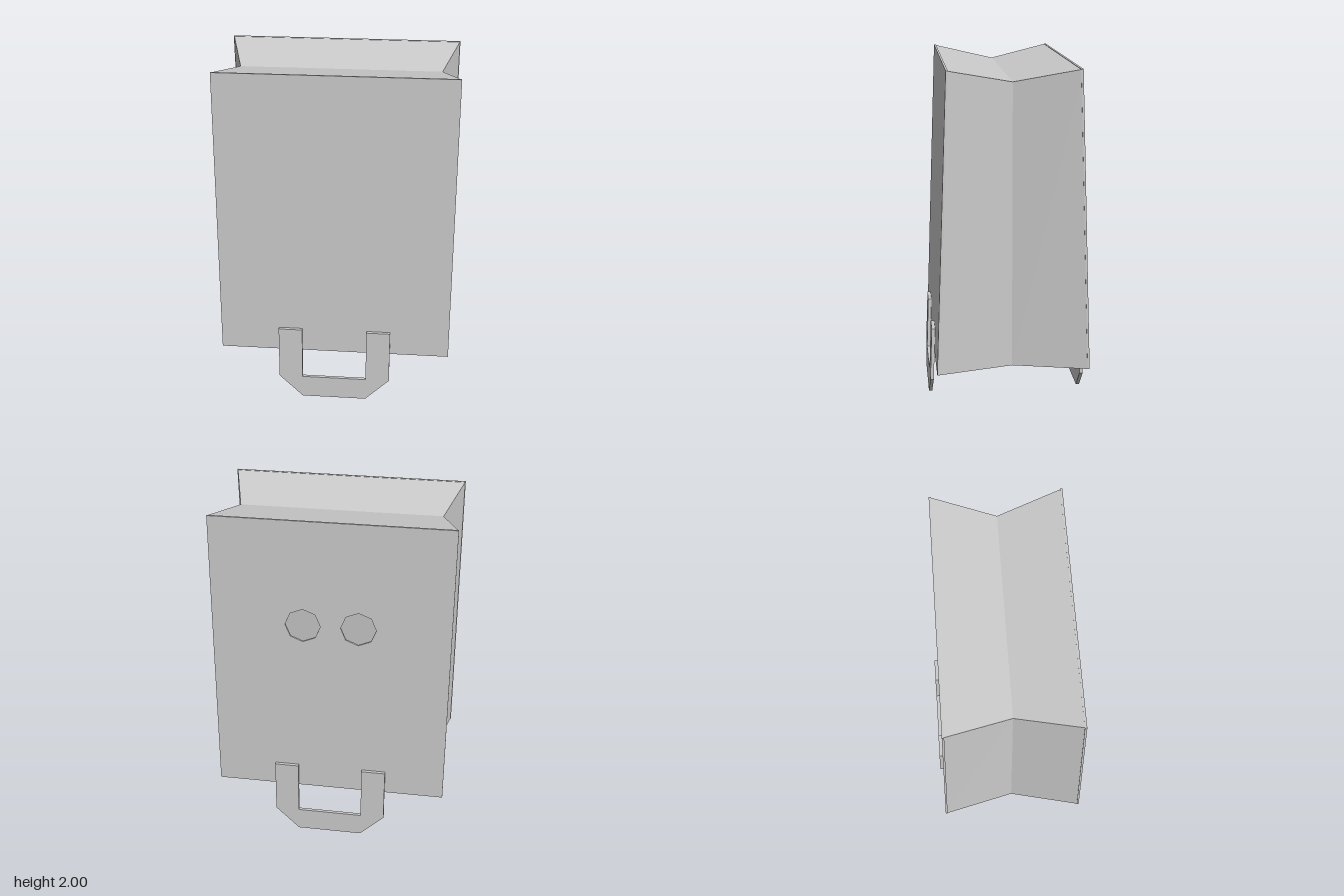
import * as THREE from 'three';

const material = new THREE.MeshStandardMaterial({ color: 0xcccccc, flatShading: true });
const T = 0.012;                              // paper thickness
const BOTTOM = 0.31, TOP = 2, FOLD_Y = 1.925; // heights of rim, top edges and top crease
const W = 0.675, FOLD_X = 0.575;              // half widths at corners and at the side creases
const Z_TOP = 0.36, Z_BOTTOM = 0.43;          // half depths
const SLOPE = (Z_BOTTOM - Z_TOP) / (TOP - BOTTOM);
const TILT = Math.atan(SLOPE);
const Z_FLOOR = Z_BOTTOM + BOTTOM * SLOPE;    // face plane continued down to y = 0

function addMesh(parent, name, geometry) {
  const mesh = new THREE.Mesh(geometry, material);
  mesh.name = name;
  parent.add(mesh);
  return mesh;
}

// Six-sided sheet between four outer corners and four inner corners
function sheet(outer, inner, flip) {
  const quads = [outer, [...inner].reverse()];
  for (let i = 0; i < 4; i++) {
    const j = (i + 1) % 4;
    quads.push([outer[j], outer[i], inner[i], inner[j]]);
  }
  const positions = [];
  for (const q of quads) {
    const [a, b, c, d] = flip ? [...q].reverse() : q;
    positions.push(...a, ...b, ...c, ...a, ...c, ...d);
  }
  const geometry = new THREE.BufferGeometry();
  geometry.setAttribute('position', new THREE.Float32BufferAttribute(positions, 3));
  geometry.computeVertexNormals();
  return geometry;
}

function shapeOf(points) {
  return new THREE.Shape(points.map(([x, y]) => new THREE.Vector2(x, y)));
}

function extrude(shape, depth) {
  return new THREE.ExtrudeGeometry(shape, { depth, bevelEnabled: false });
}

// Broad wall, lying in the tilted face plane
function wallGeometry(withHoles) {
  const y0 = BOTTOM / Math.cos(TILT), y1 = TOP / Math.cos(TILT);
  const shape = shapeOf([[-W, y0], [W, y0], [W, y1], [-W, y1]]);
  if (withHoles) {
    for (const cx of [-0.157, 0.157]) {
      const points = [];
      for (let i = 0; i < 8; i++) {
        const a = -i * Math.PI / 4;
        points.push(new THREE.Vector2(cx + 0.1 * Math.cos(a), 1.385 + 0.1 * Math.sin(a)));
      }
      shape.holes.push(new THREE.Path(points));
    }
  }
  return extrude(shape, T).translate(0, 0, -T);
}

// U-shaped strap with chamfered lower corners
function handleGeometry() {
  return extrude(shapeOf([
    [-0.33, 0.455], [-0.33, 0.135], [-0.19, 0], [0.19, 0], [0.33, 0.135], [0.33, 0.455],
    [0.19, 0.455], [0.19, 0.135], [-0.19, 0.135], [-0.19, 0.455],
  ]), 0.02);
}

export function createModel() {
  const model = new THREE.Group();
  model.name = 'paperBag';

  // Front and back faces, each with its handle; the back has two eye holes
  for (const [side, turn] of [['front', 0], ['back', Math.PI]]) {
    const pivot = new THREE.Group();
    pivot.name = side + 'Face';
    pivot.rotation.y = turn;
    const plane = new THREE.Group();
    plane.position.z = Z_FLOOR;
    plane.rotation.x = -TILT;
    pivot.add(plane);
    addMesh(plane, side + 'Wall', wallGeometry(side === 'back'));
    addMesh(plane, side + 'Handle', handleGeometry());
    model.add(pivot);
  }

  for (const sz of [1, -1]) {
    const end = sz > 0 ? 'Front' : 'Back';

    // Half of the creased top
    const top = (x, f, y, z) => [[-x, y, z * sz], [x, y, z * sz], [f, FOLD_Y - TOP + y, 0], [-f, FOLD_Y - TOP + y, 0]];
    addMesh(model, 'top' + end, sheet(
      top(W, FOLD_X, TOP, Z_TOP),
      top(W - 1.3 * T, FOLD_X - T, TOP - T, Z_TOP - T), sz < 0));

    // Half of each inward-folded side
    for (const sx of [1, -1]) {
      const half = (x, f, drop, inset) => [
        [x * sx, BOTTOM, (Z_BOTTOM - inset) * sz], [f * sx, BOTTOM, 0],
        [f * sx, FOLD_Y - drop, 0], [x * sx, TOP - drop, (Z_TOP - inset) * sz],
      ];
      addMesh(model, (sx > 0 ? 'left' : 'right') + 'Side' + end, sheet(
        half(W, FOLD_X, 0, 0),
        half(W - 1.3 * T, FOLD_X - T, T, T), sx * sz < 0));
    }
  }
  return model;
}
